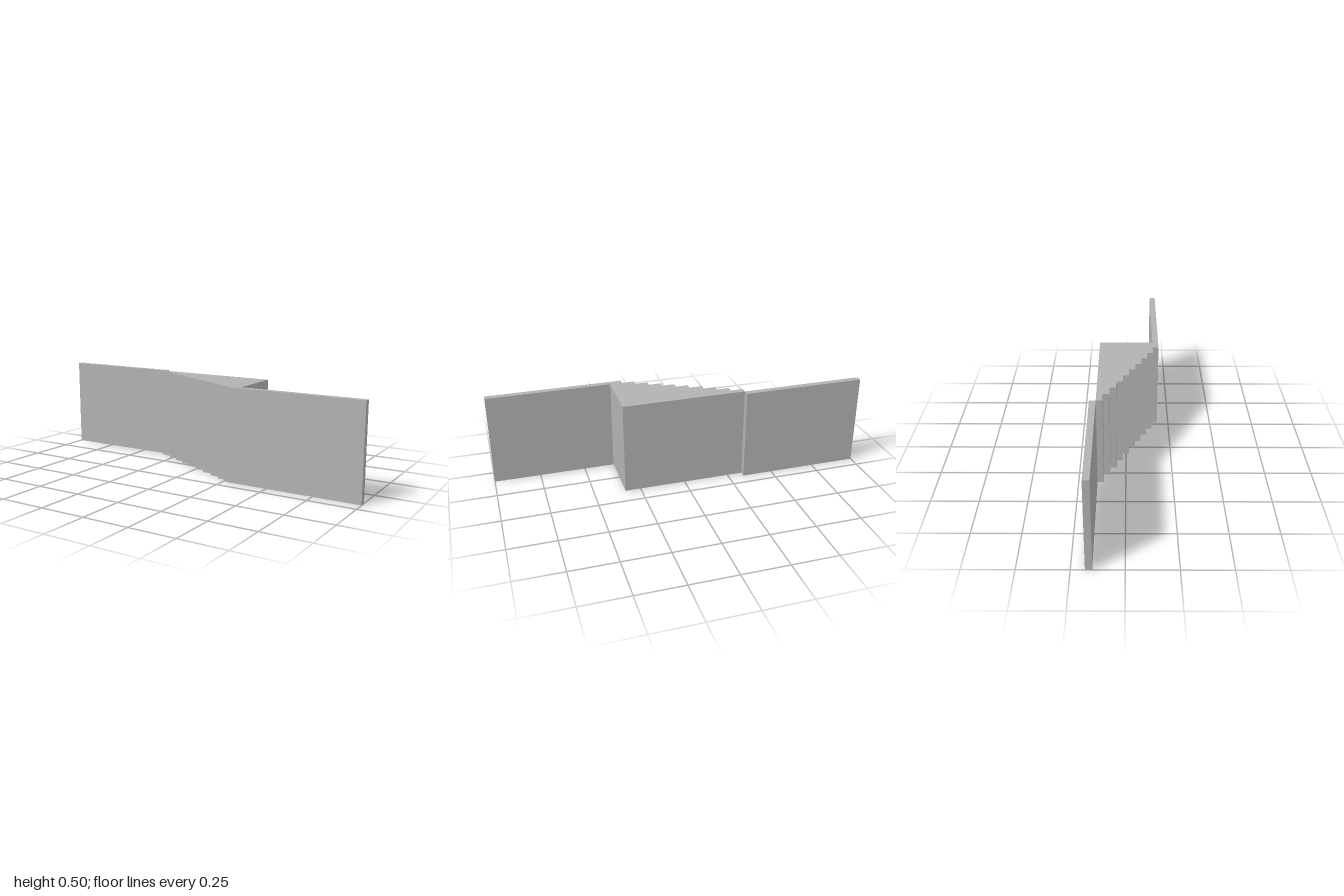
import * as THREE from 'three';

const HEIGHT = 0.5;
const STEPS = 9;
const RUN = 2 / 30; // step width along x
const RISE = 1 / 30; // step depth along z, also the wall thickness
const EDGE = 1 / 3; // half length of the stepped block
const BACK = 0.15; // half depth of the stepped block

// Extrude a plan outline of [x, z] points straight up from the ground
function extrudePlan(points) {
  const shape = new THREE.Shape(points.map(([x, z]) => new THREE.Vector2(x, -z)));
  const geometry = new THREE.ExtrudeGeometry(shape, { depth: HEIGHT, bevelEnabled: false });
  return geometry.rotateX(-Math.PI / 2);
}

export function createModel() {
  const group = new THREE.Group();
  const grey = new THREE.MeshStandardMaterial({ color: 0xb2b2b2 });
  grey.name = 'plain grey';

  const add = (name, geometry) => {
    const mesh = new THREE.Mesh(geometry, grey);
    mesh.name = name;
    group.add(mesh);
  };

  // Thin wall on the right, set to the back
  add('rearWall', extrudePlan([
    [-1, -BACK - RISE], [-1, -BACK], [-EDGE, -BACK], [-EDGE, -BACK - RISE],
  ]));

  // Stepped wedge and the front wall share one outline
  const outline = [[-EDGE, -BACK]];
  for (let i = 0; i < STEPS; i++) {
    const z = -BACK + (i + 1) * RISE;
    outline.push([-EDGE + i * RUN, z], [-EDGE + (i + 1) * RUN, z]);
  }
  outline.push(
    [-EDGE + STEPS * RUN, BACK + RISE], [1, BACK + RISE], [1, BACK],
    [EDGE, BACK], [EDGE, -BACK],
  );
  add('steppedBlockWithFrontWall', extrudePlan(outline));

  return group;
}
